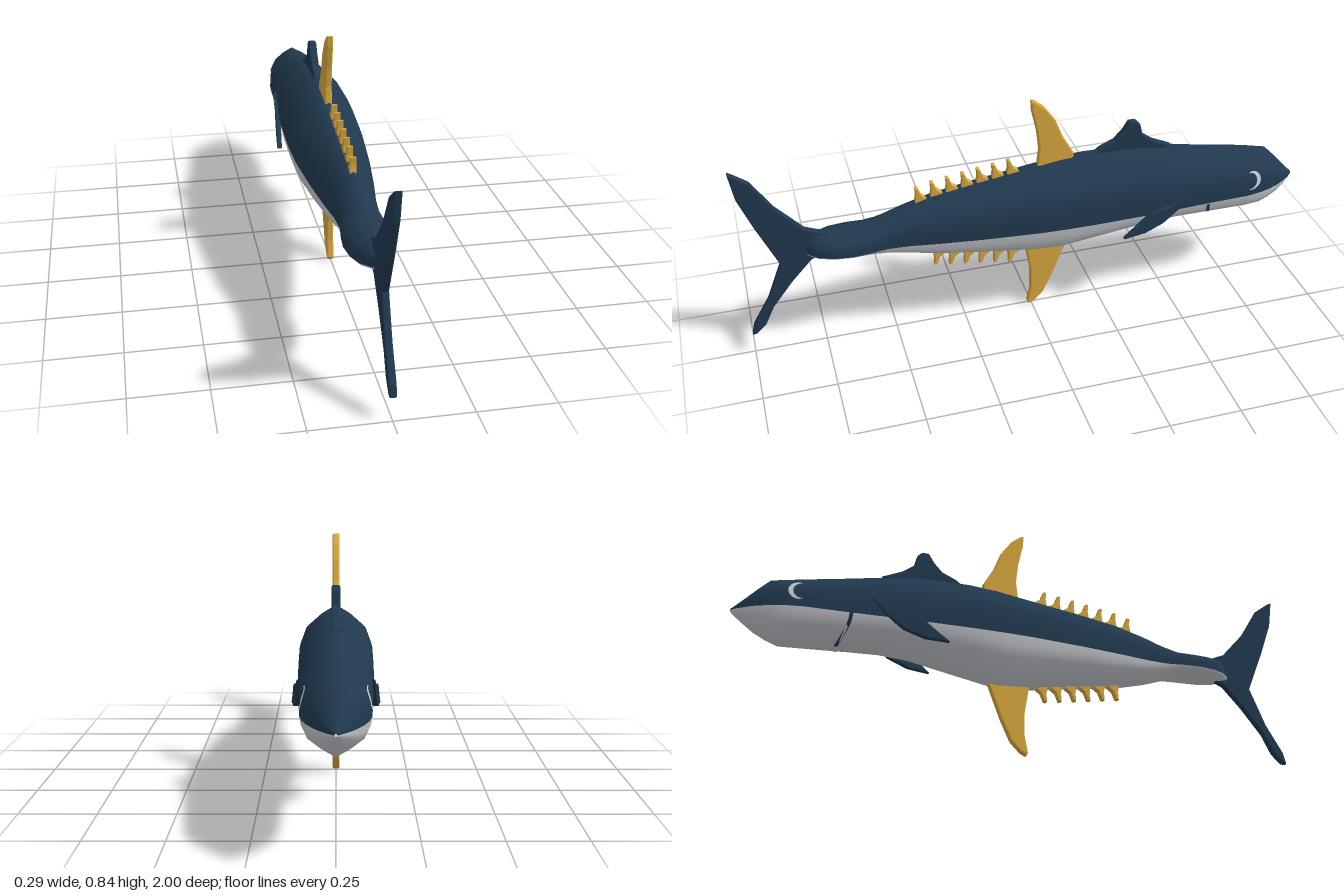
import * as THREE from 'three';

const navy = new THREE.MeshStandardMaterial({ color: 0x21394f, side: THREE.DoubleSide });
navy.name = 'navy back';
const white = new THREE.MeshStandardMaterial({ color: 0xc9ccd1, side: THREE.DoubleSide });
white.name = 'pale belly';
const yellow = new THREE.MeshStandardMaterial({ color: 0xd9a83e });
yellow.name = 'yellow fin';

const MID = 0.385; // height of the colour line
// body stations: z, top, bottom, half width
const STATIONS = [
  [-1, 0.39, 0.38, 0.004], [-0.98, 0.41, 0.362, 0.024], [-0.95, 0.442, 0.338, 0.046],
  [-0.92, 0.475, 0.316, 0.064], [-0.88, 0.515, 0.295, 0.082], [-0.84, 0.523, 0.28, 0.095],
  [-0.78, 0.535, 0.283, 0.105], [-0.65, 0.56, 0.29, 0.109], [-0.5, 0.59, 0.3, 0.116],
  [-0.4, 0.608, 0.293, 0.121], [-0.2, 0.612, 0.25, 0.125], [-0.1, 0.605, 0.231, 0.124],
  [0, 0.59, 0.237, 0.12], [0.2, 0.562, 0.268, 0.102], [0.35, 0.538, 0.292, 0.083],
  [0.45, 0.51, 0.318, 0.068], [0.52, 0.483, 0.342, 0.064], [0.58, 0.463, 0.361, 0.073],
  [0.64, 0.462, 0.368, 0.078], [0.7, 0.462, 0.366, 0.07], [0.75, 0.455, 0.368, 0.05],
  [0.78, 0.435, 0.373, 0.02], [0.79, 0.4, 0.38, 0.003],
];
// half sections: share of width, share of height
const UPPER = [[1, 0], [0.99, 0.22], [0.96, 0.42], [0.81, 0.65], [0.42, 0.855], [0, 1]];
const LOWER = [[1, 0], [0.96, 0.24], [0.85, 0.48], [0.45, 0.76], [0, 1]];

const lerp = THREE.MathUtils.lerp;

function stationAt(z) {
  let i = 0;
  while (i < STATIONS.length - 2 && STATIONS[i + 1][0] < z) i++;
  const a = STATIONS[i], b = STATIONS[i + 1], t = (z - a[0]) / (b[0] - a[0]);
  return a.map((v, k) => lerp(v, b[k], t));
}

// half width of the skin at a given z and y
function skinX(z, y) {
  const [, top, bottom, w] = stationAt(z);
  const sec = y > MID ? UPPER : LOWER;
  const t = Math.min(1, y > MID ? (y - MID) / (top - MID) : (MID - y) / (MID - bottom));
  let i = 0;
  while (i < sec.length - 2 && sec[i + 1][1] < t) i++;
  const [a, b] = [sec[i], sec[i + 1]];
  return w * lerp(a[0], b[0], (t - a[1]) / (b[1] - a[1]));
}

// loft one half of the body, above or below the colour line
function bodyHalf(section, upper) {
  const dir = upper ? 1 : -1;
  const ring = [
    ...section.map(([x, y]) => [x * dir, y]),
    ...section.slice(0, -1).reverse().map(([x, y]) => [-x * dir, y]),
  ];
  const pos = [], index = [], n = ring.length;
  STATIONS.forEach(([z, top, bottom, w], i) => {
    const h = (upper ? top : bottom) - MID;
    ring.forEach(([x, y], j) => {
      pos.push(x * w, MID + y * h, z);
      if (i < STATIONS.length - 1 && j < n - 1) {
        const a = i * n + j;
        index.push(a, a + 1, a + n, a + 1, a + n + 1, a + n);
      }
    });
  });
  const g = new THREE.BufferGeometry();
  g.setAttribute('position', new THREE.Float32BufferAttribute(pos, 3));
  g.setIndex(index);
  g.computeVertexNormals();
  return g;
}

// upright slab from a (z, y) outline, centred on x = 0
function slab(points, thickness = 0.024, bevel = 0.005) {
  const shape = new THREE.Shape(points.map(([z, y]) => new THREE.Vector2(z, y)));
  const g = new THREE.ExtrudeGeometry(shape, {
    depth: thickness - 2 * bevel, bevelEnabled: true, bevelSize: bevel,
    bevelOffset: -bevel, bevelThickness: bevel, bevelSegments: 2,
  });
  g.translate(0, 0, -(thickness - 2 * bevel) / 2);
  return g.rotateY(-Math.PI / 2);
}

// painted patch from a (z, y) outline, laid on the skin
function patch(points, side) {
  const shape = new THREE.Shape(points.map(([z, y]) => new THREE.Vector2(z, y)));
  const g = new THREE.ShapeGeometry(shape);
  const p = g.attributes.position;
  for (let i = 0; i < p.count; i++) {
    const z = p.getX(i), y = p.getY(i);
    p.setXYZ(i, side * (skinX(z, y) + 0.004), y, z);
  }
  g.computeVertexNormals();
  return g;
}

export function createModel() {
  const model = new THREE.Group();
  const add = (name, geometry, material) => {
    const mesh = new THREE.Mesh(geometry, material);
    mesh.name = name;
    model.add(mesh);
    return mesh;
  };

  // body
  add('back', bodyHalf(UPPER, true), navy);
  add('belly', bodyHalf(LOWER, false), white);

  // forked tail
  add('tailFin', slab([
    [0.72, 0.455], [0.72, 0.375], [0.77, 0.355], [0.84, 0.28], [0.915, 0.185], [0.95, 0.115],
    [0.985, 0.082], [1, 0.08], [0.99, 0.12], [0.93, 0.22], [0.875, 0.355], [0.94, 0.51],
    [0.985, 0.63], [1, 0.73], [0.985, 0.722], [0.935, 0.685], [0.87, 0.58], [0.78, 0.48],
  ]), navy);

  // fins on the centre line
  add('frontDorsalFin', slab([
    [-0.2, 0.58], [-0.25, 0.618], [-0.3, 0.64], [-0.33, 0.672], [-0.35, 0.705], [-0.375, 0.705],
    [-0.39, 0.69], [-0.4, 0.65], [-0.44, 0.62], [-0.51, 0.588], [-0.48, 0.57],
  ], 0.028), navy);
  add('rearDorsalFin', slab([
    [-0.15, 0.59], [-0.15, 0.62], [-0.11, 0.69], [-0.085, 0.755], [-0.045, 0.81], [-0.01, 0.838],
    [0, 0.838], [-0.002, 0.8], [-0.02, 0.72], [-0.028, 0.65], [-0.02, 0.58],
  ]), yellow);
  add('analFin', slab([
    [-0.13, 0.25], [-0.12, 0.225], [-0.08, 0.12], [-0.045, 0.045], [-0.01, 0.01], [0.01, 0],
    [0.016, 0.01], [0.004, 0.07], [0.004, 0.15], [0.02, 0.25],
  ]), yellow);

  // rows of small hooked finlets
  const finlet = (z, root, dir) => {
    const outline = [[-0.035, -0.02], [-0.03, 0.005], [-0.012, 0.018], [0, 0.048],
      [0.01, 0.048], [0.008, 0.02], [0.014, -0.02]];
    return slab(outline.map(([u, v]) => [z + u, root + dir * v]), 0.022, 0.003);
  };
  for (let i = 0; i < 7; i++) {
    const z = 0.075 + i * 0.0535;
    add('upperFinlet', finlet(z, stationAt(z)[1] - 0.003, 1), yellow);
    if (i < 6) add('lowerFinlet', finlet(z, stationAt(z)[2] + 0.003, -1), yellow);
  }

  for (const side of [1, -1]) {
    // pectoral fin, flaring out to the rear
    const fin = slab([
      [-0.56, 0.445], [-0.48, 0.412], [-0.4, 0.398], [-0.35, 0.355], [-0.3, 0.315],
      [-0.38, 0.32], [-0.45, 0.345], [-0.51, 0.39],
    ], 0.018, 0.004);
    const p = fin.attributes.position;
    for (let i = 0; i < p.count; i++) {
      p.setX(i, p.getX(i) + side * (0.11 + 0.1 * (p.getZ(i) + 0.56)));
    }
    fin.computeVertexNormals();
    add('pectoralFin', fin, navy);

    // crescent eye, open towards the tail
    const outer = [], inner = [];
    for (let i = 0; i <= 16; i++) {
      const a = lerp(-2.1, 2.1, i / 16), c = Math.cos(a), s = Math.sin(a);
      const r = 0.034 - 0.016 * Math.cos(a * 0.75);
      outer.push([-0.797 - 0.034 * c, 0.443 + 0.034 * s]);
      inner.unshift([-0.797 - r * c, 0.443 + r * s]);
    }
    add('eye', patch([...outer, ...inner.slice(1, -1)], side), white);

    // gill slit
    const front = [], back = [];
    for (let i = 0; i <= 8; i++) {
      const t = i / 8, z = -0.625 - 0.03 * t * t, y = lerp(0.384, 0.298, t);
      front.push([z - 0.006, y]);
      back.unshift([z + 0.006, y]);
    }
    add('gillSlit', patch([...front, ...back], side), navy);
  }
  return model;
}
